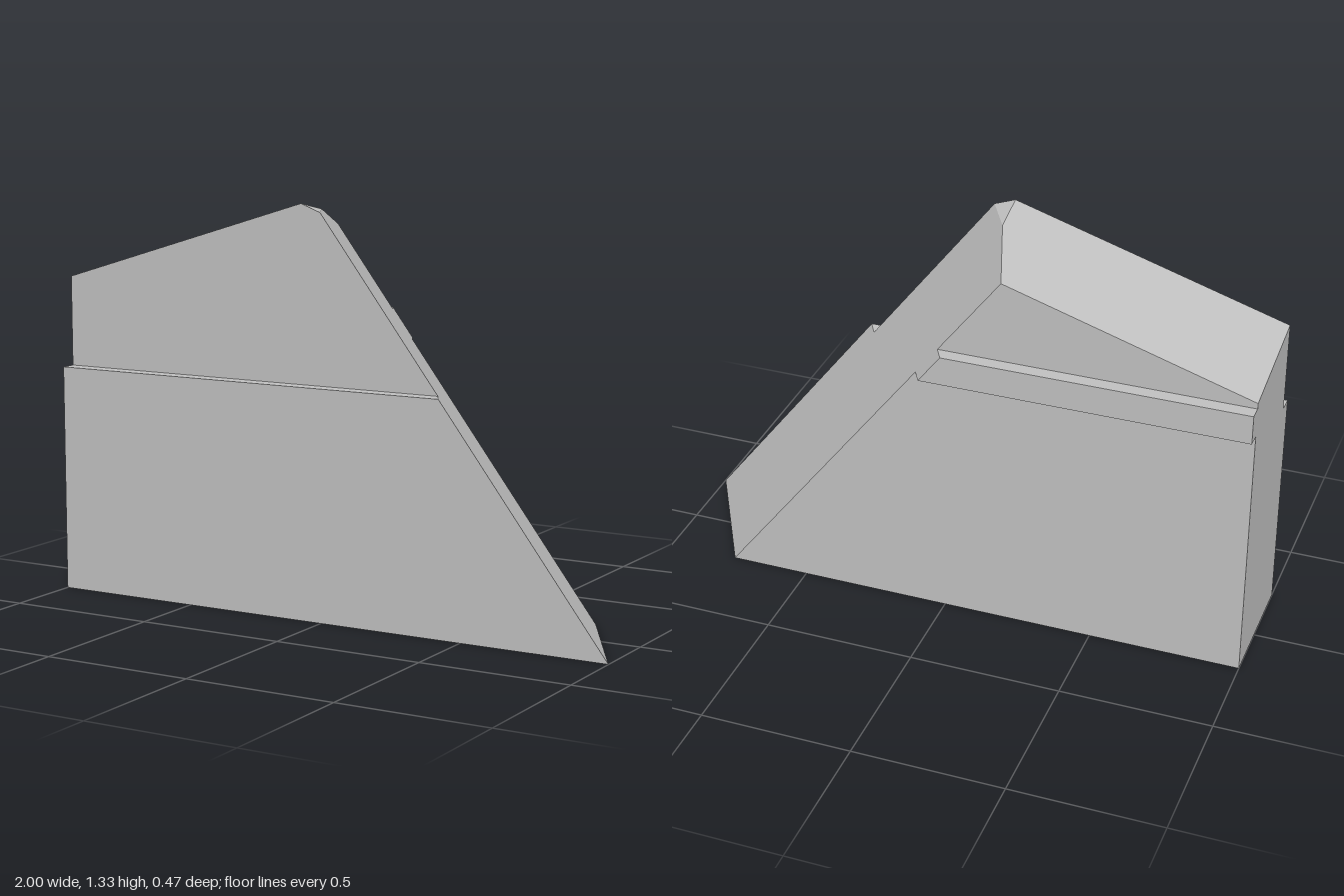
import * as THREE from 'three';

const FRONT = 0.237, BACK = -0.237, STEP = 0.185, REAR = -0.19;

// Cross-section of the block as [z, y]: up the front, over the top, down the back
const outline = [
  [FRONT, 0], [FRONT, 0.755], [STEP, 0.755], [STEP, 1.055], [REAR, 0.986],
  [REAR, 0.967], [BACK, 0.967], [BACK, 0.87], [REAR, 0.87], [REAR, 0],
];

// Oblique plane that cuts off the +x end
const cutX = (y, z) => 1 - 0.768 * y - 0.553 * (FRONT - z);
const onCut = (y, z) => new THREE.Vector3(cutX(y, z), y, z);

function createBlockGeometry() {
  const triangles = [];
  const addFace = (...p) => {
    for (let i = 1; i < p.length - 1; i++) triangles.push(p[0], p[i], p[i + 1]);
  };
  // Flat end face, turned towards +x or -x
  const addCap = (points, direction) => {
    const flat = points.map((p) => new THREE.Vector2(p.z, p.y));
    for (const [i, j, k] of THREE.ShapeUtils.triangulateShape(flat, [])) {
      const [a, b, c] = [points[i], points[j], points[k]];
      const nx = b.clone().sub(a).cross(c.clone().sub(a)).x;
      if (nx * direction > 0) addFace(a, b, c);
      else addFace(a, c, b);
    }
  };

  const left = outline.map(([z, y]) => new THREE.Vector3(-1, y, z));
  const right = outline.map(([z, y]) => onCut(y, z));

  // Peak with its small corner facet
  const peak = new THREE.Vector3(-0.1, 1.33, STEP);
  const facetFront = onCut(1.304, STEP);
  const facetRear = onCut(1.304, 0.05);
  right[4] = onCut(1.237, REAR);
  addFace(peak, facetFront, facetRear);

  // Long walls, including the front ledge and the rear rib
  outline.forEach((_, i) => {
    const n = (i + 1) % outline.length;
    if (i === 2) addFace(left[2], right[2], facetFront, peak, left[3]);
    else if (i === 3) addFace(left[3], peak, facetRear, right[4], left[4]);
    else addFace(left[i], right[i], right[n], left[n]);
  });

  // Square end and slanted end
  addCap(left, -1);
  addCap([...right.slice(0, 3), facetFront, facetRear, ...right.slice(4)], 1);

  const geometry = new THREE.BufferGeometry().setFromPoints(triangles);
  geometry.computeVertexNormals();
  return geometry;
}

export function createModel() {
  const stone = new THREE.MeshStandardMaterial({ color: 0xbfbfbf });
  stone.name = 'light grey';

  const group = new THREE.Group();
  group.name = 'slantedBlock';
  const block = new THREE.Mesh(createBlockGeometry(), stone);
  block.name = 'wedgeBody';
  group.add(block);
  return group;
}
